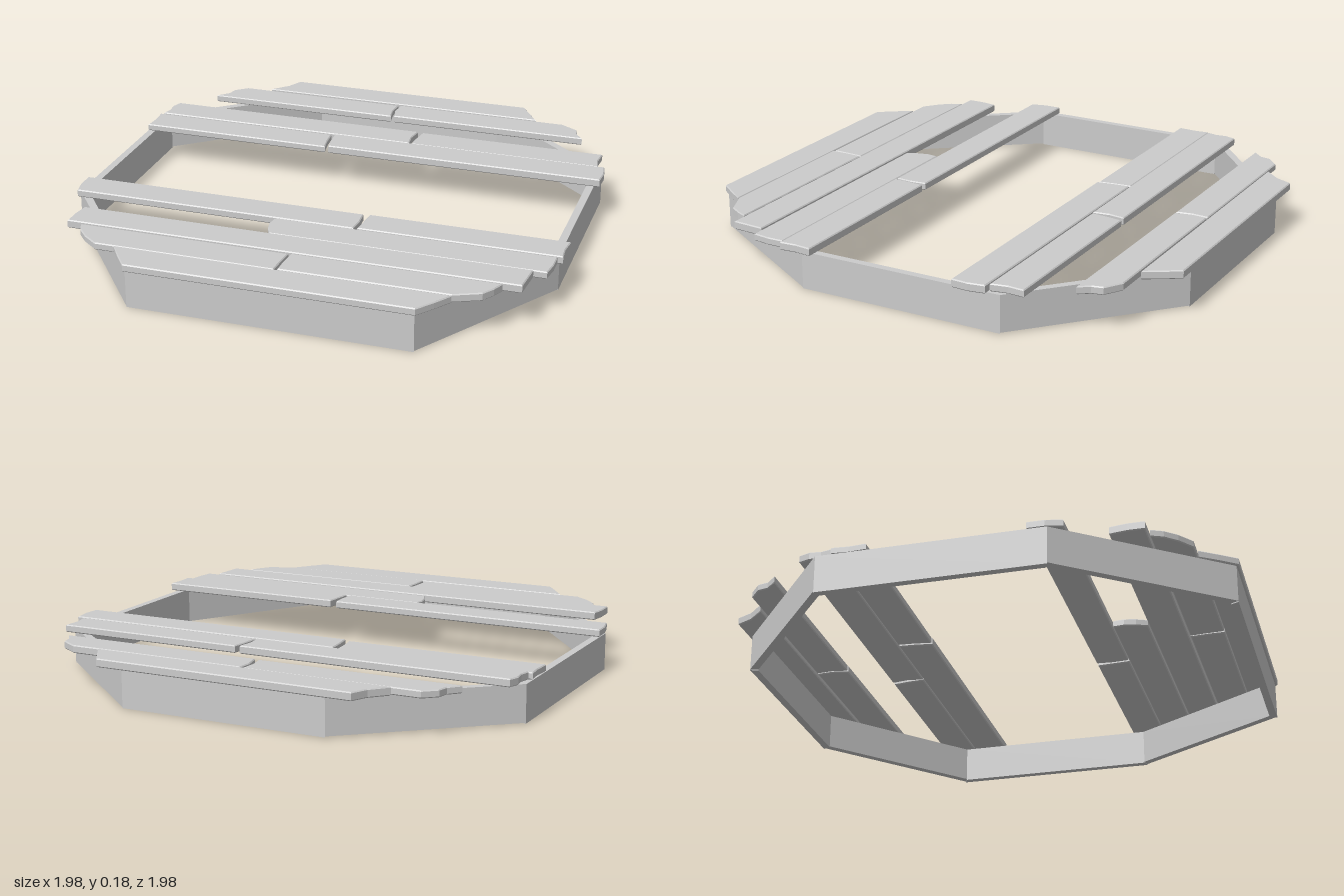
import * as THREE from 'three';

const wood = new THREE.MeshStandardMaterial({ color: 0xcccccc, flatShading: true });

// Solid slab from an outline in the ground plane: points are [x, z]
function slab(name, points, bottom, top, bevel) {
  const shape = new THREE.Shape(points.map(([x, z]) => new THREE.Vector2(x, z)));
  const geometry = new THREE.ExtrudeGeometry(shape, {
    depth: top - bottom - 2 * bevel, bevelEnabled: bevel > 0, bevelSegments: 1,
    bevelThickness: bevel, bevelSize: bevel, bevelOffset: -bevel,
  });
  geometry.rotateX(Math.PI / 2);
  geometry.translate(0, top - bevel, 0);
  const mesh = new THREE.Mesh(geometry, wood);
  mesh.name = name;
  return mesh;
}

// Outer corners of the eight-sided frame, [x, z]
const corners = [
  [-0.52, 0.975], [0.58, 0.975], [0.962, 0.35], [0.962, -0.49],
  [0.42, -0.975], [-0.42, -0.975], [-0.985, -0.5], [-0.985, 0.37],
];

// Corners moved inwards by the board thickness, giving mitred joints
function insetCorners(points, thickness) {
  const n = points.length;
  return points.map(([x, z], i) => {
    const p = new THREE.Vector2(x, z);
    const a = p.clone().sub(new THREE.Vector2(...points[(i + n - 1) % n])).normalize();
    const b = new THREE.Vector2(...points[(i + 1) % n]).sub(p).normalize();
    const na = new THREE.Vector2(a.y, -a.x), nb = new THREE.Vector2(b.y, -b.x);
    const miter = na.clone().add(nb).normalize();
    p.addScaledVector(miter, thickness / miter.dot(na));
    return [p.x, p.y];
  });
}

// Planks: back z, front z, left end and right end as x values from back to front, top height
const planks = [
  [-0.99, -0.86, [-0.53, -0.56, -0.62], [0.52, 0.56, 0.6], 0.181],
  [-0.85, -0.72, [-0.73, -0.78, -0.79, -0.83], [-0.02, -0.025, -0.015], 0.177],
  [-0.85, -0.72, [-0.01, -0.015, 0], [0.72, 0.79, 0.8, 0.83], 0.179],
  [-0.575, -0.443, [-0.95, -0.965, -0.96, -0.97], [0.15, 0.14, 0.148], 0.18],
  [-0.575, -0.443, [0.17, 0.16, 0.155], [0.945, 0.94, 0.952], 0.178],
  [-0.44, -0.305, [-0.985, -0.98, -0.985], [-0.195, -0.19, -0.18], 0.176],
  [-0.44, -0.305, [-0.18, -0.175, -0.165], [0.98, 0.99, 0.985], 0.181],
  [0.295, 0.427, [-0.985, -0.985, -0.97], [0.18, 0.185, 0.18], 0.178],
  [0.295, 0.427, [0.205, 0.2, 0.195], [0.992, 0.985, 0.99], 0.18],
  [0.43, 0.565, [-0.135, -0.14, -0.13, -0.11], [0.97, 0.97, 0.96], 0.177],
  [0.57, 0.703, [-0.87, -0.88, -0.88], [0.91, 0.905, 0.9], 0.181],
  [0.71, 0.847, [-0.82, -0.8, -0.76, -0.7], [0.02, 0.015, 0.012], 0.177],
  [0.71, 0.847, [0.03, 0.025, 0.025], [0.83, 0.81, 0.78, 0.68], 0.18],
  [0.85, 0.985, [-0.62, -0.575, -0.525], [0.68, 0.635, 0.585], 0.178],
];

export function createModel() {
  const model = new THREE.Group();
  model.name = 'octagonalPlankPlatform';

  // Frame boards standing on edge around the octagon
  const frame = new THREE.Group();
  frame.name = 'frame';
  const inner = insetCorners(corners, 0.03);
  corners.forEach((corner, i) => {
    const j = (i + 1) % corners.length;
    frame.add(slab('frameBoard', [corner, corners[j], inner[j], inner[i]], i % 2 ? 0.004 : 0, 0.148, 0));
  });
  model.add(frame);

  // Broken deck planks with uneven ends
  const deck = new THREE.Group();
  deck.name = 'deck';
  for (const [back, front, left, right, top] of planks) {
    const end = (xs) => xs.map((x, i) => [x, back + (front - back) * i / (xs.length - 1)]);
    deck.add(slab('deckPlank', [...end(left), ...end(right).reverse()], 0.148, top, 0.004));
  }
  model.add(deck);

  return model;
}
